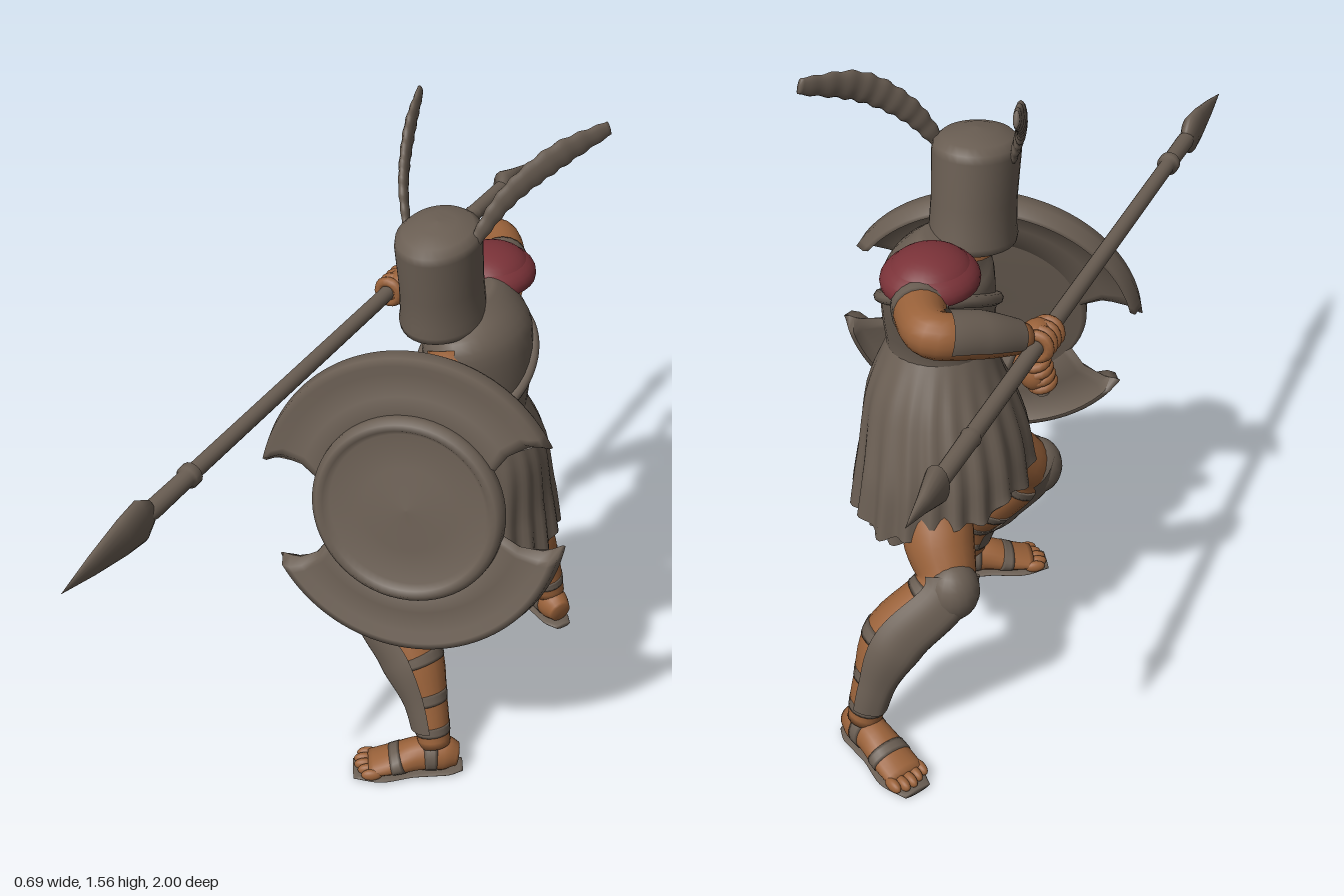
import * as THREE from 'three';

const mat = (name, color) => Object.assign(
  new THREE.MeshStandardMaterial({ color, side: THREE.DoubleSide }), { name });
const V = (p) => new THREE.Vector3(...p);

// Skin swept along points with elliptical radii [a along ref, b across it]
function loft(pts, radii, ref, o = {}) {
  const { t0 = 0, t1 = 1, grow = 1, arc = Math.PI, rows = 20, ring = 20, caps = true, mod = () => 1 } = o;
  const path = new THREE.CatmullRomCurve3(pts.map(V));
  const size = new THREE.CatmullRomCurve3(radii.map((r) => (Array.isArray(r) ? V([r[0], r[1], 0]) : V([r, r, 0]))));
  const closed = arc === Math.PI, cols = closed ? ring : ring + 1;
  const pos = [], idx = [];
  for (let i = 0; i <= rows; i++) {
    const t = t0 + (t1 - t0) * i / rows;
    const c = path.getPoint(t), T = path.getTangent(t), s = size.getPoint(t);
    const X = V(ref).addScaledVector(T, -V(ref).dot(T)).normalize();
    const Y = T.clone().cross(X);
    for (let j = 0; j < cols; j++) {
      const th = -arc + 2 * arc * j / ring, k = grow * mod(t, th);
      const p = c.clone().addScaledVector(X, s.x * k * Math.cos(th)).addScaledVector(Y, s.y * k * Math.sin(th));
      pos.push(p.x, p.y, p.z);
    }
  }
  for (let i = 0; i < rows; i++) for (let j = 0; j < ring; j++) {
    const a = i * cols + j, b = i * cols + (j + 1) % cols;
    idx.push(a, b, a + cols, b, b + cols, a + cols);
  }
  if (caps && closed) {
    const n = pos.length / 3, last = rows * cols;
    [path.getPoint(t0), path.getPoint(t1)].forEach((p) => pos.push(p.x, p.y, p.z));
    for (let j = 0; j < ring; j++) {
      const k = (j + 1) % cols;
      idx.push(n, k, j, n + 1, last + j, last + k);
    }
  }
  const g = new THREE.BufferGeometry();
  g.setAttribute('position', new THREE.Float32BufferAttribute(pos, 3));
  g.setIndex(idx);
  g.computeVertexNormals();
  return g;
}

const lathe = (pts, seg = 32, ...phi) =>
  new THREE.LatheGeometry(pts.map((p) => new THREE.Vector2(...p)), seg, ...phi);

export function createModel() {
  const metal = mat('armour', 0x6a5e53), skin = mat('skin', 0x9a623a), red = mat('red cloth', 0x7a3238);
  const root = new THREE.Group();
  root.name = 'warrior';
  const group = (name, parent = root) => {
    const g = new THREE.Group();
    g.name = name;
    parent.add(g);
    return g;
  };
  const add = (name, geo, m, parent = root, pos = [0, 0, 0], scale = [1, 1, 1]) => {
    const mesh = new THREE.Mesh(geo, m);
    mesh.name = name;
    mesh.position.set(...pos);
    mesh.scale.set(...scale);
    parent.add(mesh);
    return mesh;
  };
  const ball = new THREE.SphereGeometry(1, 20, 14);

  // Torso with diagonal strap
  add('torso', loft(
    [[0, 0.84, -0.16], [0, 0.89, -0.16], [0, 0.98, -0.16], [0, 1.07, -0.165], [-0.01, 1.125, -0.165], [-0.02, 1.165, -0.16]],
    [[0.115, 0.122], [0.116, 0.12], [0.122, 0.14], [0.113, 0.157], [0.08, 0.135], [0.045, 0.075]], [1, 0, 0], { ring: 32 }), metal);
  const strapPts = [];
  for (let i = 0; i < 24; i++) {
    const a = i / 12 * Math.PI, z = 0.152 * Math.sin(a);
    strapPts.push(V([0.122 * Math.cos(a), 1.0 - z * 0.5 - 0.02 * Math.cos(a), -0.16 + z]));
  }
  add('chestStrap', new THREE.TubeGeometry(new THREE.CatmullRomCurve3(strapPts, true), 60, 0.014, 8, true), metal);

  // Pleated skirt in two layers, hem ragged and lifted over the thighs
  [['skirt', 1, 0, 0], ['skirtLining', 0.9, 0.02, 1.5]].forEach(([name, grow, drop, phase]) => {
    const g = loft([[0, 0.89, -0.155], [0, 0.77, -0.168], [-0.015, 0.62, -0.177], [-0.015, 0.51, -0.178]],
      [[0.117, 0.122], [0.16, 0.176], [0.187, 0.222], [0.198, 0.238]], [1, 0, 0],
      { grow, caps: false, ring: 120, rows: 16, mod: (t, th) => 1 + 0.045 * t * Math.cos(20 * th + phase + Math.sin(3 * th)) });
    const p = g.attributes.position;
    for (let i = 0; i < p.count; i++) {
      const th = (i % 120) / 120 * Math.PI * 2 - Math.PI, t = Math.floor(i / 120) / 16;
      const lift = 0.06 * Math.max(0, -Math.cos(th)) * t * t;
      p.setY(i, p.getY(i) + lift - t ** 4 * (drop + 0.01 * Math.cos(10 * th + phase)));
    }
    g.computeVertexNormals();
    add(name, g, metal);
  });

  // Helmet, leaning forward a little
  const helmet = group('helmet');
  helmet.position.set(-0.055, 1.13, -0.105);
  helmet.rotation.x = 0.12;
  add('helmetShell', lathe([[0.085, 0], [0.094, 0], [0.096, 0.015], [0.092, 0.035], [0.09, 0.1], [0.093, 0.205],
    [0.09, 0.222], [0.075, 0.236], [0.04, 0.248], [0, 0.252]]), metal, helmet, [0, 0, 0], [1, 1, 1.18]);
  add('neck', new THREE.CylinderGeometry(0.055, 0.06, 0.1, 20), skin, root, [-0.05, 1.16, -0.12]);

  // Pair of swept-back plumes with notched edges
  [[[[0.02, 1.33, -0.09], [0.07, 1.43, -0.15], [0.14, 1.505, -0.23], [0.215, 1.545, -0.35]], [0.75, 0, 0.66]],
    [[[-0.14, 1.33, -0.09], [-0.175, 1.42, -0.14], [-0.205, 1.495, -0.22], [-0.235, 1.545, -0.325]], [1, 0, -0.3]],
  ].forEach(([pts, ref]) => add('plume', loft(pts, [[0.009, 0.014], [0.011, 0.026], [0.012, 0.032], [0.007, 0.018]], ref,
    { rows: 60, ring: 12, mod: (t) => 1 + 0.07 * Math.sin(t * 62) }), metal));

  // Legs: skin, greave on the shin, calf straps, sandal foot
  const legRadii = [0.085, 0.08, 0.066, 0.07, 0.048, 0.039];
  const footPts = [[0, 0.043, -0.055], [0, 0.05, -0.02], [0, 0.05, 0.04], [0, 0.035, 0.1], [0, 0.024, 0.16]];
  const footRadii = [[0.03, 0.028], [0.046, 0.04], [0.042, 0.042], [0.03, 0.048], [0.018, 0.048]];
  [['frontLeg', [[0, 0.64, -0.13], [-0.08, 0.5, 0.005], [-0.12, 0.42, 0.072], [-0.035, 0.3, 0.088], [0.02, 0.19, 0.115], [0.05, 0.08, 0.135]], [-0.21, 0, 0.13]],
    ['rearLeg', [[0, 0.64, -0.24], [-0.075, 0.5, -0.35], [-0.11, 0.42, -0.402], [-0.02, 0.3, -0.475], [0.015, 0.19, -0.515], [0.035, 0.08, -0.533]], [-0.21, 0, -0.12]],
  ].forEach(([name, pts, dir]) => {
    const leg = group(name);
    add('legSkin', loft(pts, legRadii, dir, { rows: 32 }), skin, leg);
    add('greave', loft(pts, legRadii, dir, { t0: 0.36, t1: 0.92, grow: 1.12, arc: 1.4,
      mod: (t, th) => 1 + 0.08 * Math.exp(-th * th * 12) }), metal, leg);
    const knee = add('kneeCap', ball, metal, leg, pts[2], [0.062, 0.072, 0.062]);
    knee.position.addScaledVector(V(dir).normalize(), 0.028);
    [0.45, 0.62, 0.78, 0.92].forEach((t) => add('calfStrap', loft(pts, legRadii, dir,
      { t0: t - 0.022, t1: t + 0.022, grow: 1.03, rows: 4 }), metal, leg));
    const foot = group('foot', leg);
    foot.position.set(pts[5][0], 0, pts[5][2]);
    foot.rotation.y = Math.atan2(dir[0], dir[2]);
    add('footSkin', loft(footPts, footRadii, [0, 1, 0]), skin, foot);
    for (let i = 0; i < 5; i++)
      add('toe', ball, skin, foot, [-0.04 + i * 0.02, 0.022, 0.175 - Math.abs(i - 1.5) * 0.008], [0.0125, 0.015, 0.026]);
    add('sole', loft([[0, 0.007, -0.068], [0, 0.007, -0.03], [0, 0.007, 0.05], [0, 0.007, 0.13], [0, 0.007, 0.2]],
      [[0.007, 0.022], [0.007, 0.038], [0.007, 0.04], [0.007, 0.054], [0.007, 0.035]], [0, 1, 0]), metal, foot);
    [0.38, 0.72].forEach((t) => add('sandalStrap', loft(footPts, footRadii, [0, 1, 0],
      { t0: t - 0.06, t1: t + 0.06, grow: 1.04, rows: 4 }), metal, foot));
  });

  // Arms with bracers
  const arm = (name, pts, radii, ref, bracer) => {
    const g = group(name);
    add('armSkin', loft(pts, radii, ref, { rows: 28 }), skin, g);
    add('bracer', loft(pts, radii, ref, { t1: 0.95, grow: 1.14, ...bracer }), metal, g);
    return g;
  };
  const fist = (parent, pos, dir) => {
    const h = group('hand', parent);
    h.position.set(...pos);
    h.quaternion.setFromUnitVectors(V([0, 0, 1]), V(dir).normalize());
    add('palm', ball, skin, h, [0.012, 0, 0], [0.038, 0.04, 0.046]);
    for (let i = 0; i < 4; i++)
      add('finger', new THREE.TorusGeometry(0.026, 0.0125, 8, 16), skin, h, [0, 0, -0.033 + i * 0.022]);
  };
  const spearRadii = [0.062, 0.056, 0.05, 0.047, 0.032];
  const spearPts = [[-0.02, 1.115, -0.29], [-0.065, 1.12, -0.41], [-0.125, 1.125, -0.485], [-0.2, 1.1, -0.42], [-0.265, 1.06, -0.335]];
  const spearArm = arm('spearArm', spearPts, spearRadii, [0, 1, 0], { t0: 0.58, arc: 1.8 });
  add('armBand', loft(spearPts, spearRadii, [0, 1, 0], { t0: 0.2, t1: 0.27, grow: 1.05, rows: 4 }), metal, spearArm);
  fist(spearArm, [-0.29, 1.045, -0.3], [0, -0.02, 1]);
  const shieldArm = arm('shieldArm', [[-0.01, 1.08, -0.06], [0.035, 0.94, -0.005], [0.065, 0.78, 0.045], [0.0, 0.725, 0.07], [-0.1, 0.69, 0.09]],
    [0.055, 0.052, 0.048, 0.045, 0.032], [0, 0, 1], { t0: 0.45 });
  fist(shieldArm, [-0.14, 0.68, 0.1], [0.2, 1, -0.2]);
  add('shieldGrip', new THREE.CylinderGeometry(0.015, 0.015, 0.12, 12), metal, shieldArm, [-0.14, 0.68, 0.1]).rotation.z = -0.2;

  // Layered red shoulder pad
  const pad = group('shoulderPad');
  [[0.112, 0.055, 1.142], [0.098, 0.058, 1.15]].forEach(([r, h, y]) => add('padLayer',
    new THREE.SphereGeometry(1, 28, 10, 0, Math.PI * 2, 0, 1.75), red, pad, [-0.045, y, -0.31], [r * 0.93, h, r]));

  // Spear along z
  const spear = group('spear');
  spear.position.set(-0.29, 1.04, 0);
  spear.rotation.x = 0.02;
  const alongZ = (pts, seg) => lathe(pts, seg).rotateX(Math.PI / 2);
  add('shaft', alongZ([[0, -0.88], [0.018, -0.87], [0.02, -0.7], [0.022, -0.69], [0.018, -0.68], [0.018, 0.55], [0.026, 0.555],
    [0.026, 0.575], [0.02, 0.58], [0.021, 0.7], [0.014, 0.73], [0, 0.74]], 16), metal, spear);
  add('spearHead', alongZ([[0, 0.69], [0.03, 0.705], [0.052, 0.74], [0.045, 0.8], [0.025, 0.9], [0, 1]], 16), metal, spear, [0, 0, 0], [0.45, 1, 1]);
  add('buttSpike', alongZ([[0, -1], [0.022, -0.92], [0.044, -0.855], [0.02, -0.845], [0, -0.84]], 16), metal, spear, [0, 0, 0], [0.6, 1, 1]);

  // Round shield: full centre disc and two rim halves with bites between them
  const shield = group('shield');
  shield.position.set(0, 0.79, 0.155);
  shield.quaternion.setFromUnitVectors(V([0, 0, 1]), V([0.23, 0.22, 1]).normalize());
  add('shieldDisc', alongZ([[0, 0], [0.21, -0.005], [0.222, 0.008], [0.22, 0.03], [0.207, 0.044], [0.192, 0.042],
    [0.18, 0.026], [0.1, 0.028], [0, 0.034]], 64), metal, shield);
  const rim = [[0.335, -0.05], [0.345, -0.05], [0.357, -0.02], [0.35, 0.014], [0.334, 0.02], [0.312, 0.008], [0.26, 0.01], [0.21, 0.02],
    [0.21, -0.005], [0.27, -0.012], [0.325, -0.02], [0.335, -0.05]];
  [103, 283].forEach((deg) => {
    const mid = (deg + 90) * Math.PI / 180, half = 1.24, g = lathe(rim, 48, mid - half, half * 2);
    const p = g.attributes.position;
    for (let i = 0; i < p.count; i++) {
      const col = Math.floor(i / rim.length), [r, h] = rim[i % rim.length];
      const bite = 1 - 0.08 * Math.sin(Math.PI * Math.min(1, (r - 0.21) / 0.14));
      const a = mid + half * (col / 24 - 1) * bite;
      const y = col % 48 ? h : 0.008 - (r - 0.21) * 0.2;
      p.setXYZ(i, r * Math.sin(a), y, r * Math.cos(a));
    }
    g.computeVertexNormals();
    add('shieldRim', g.rotateX(Math.PI / 2), metal, shield);
  });
  return root;
}
